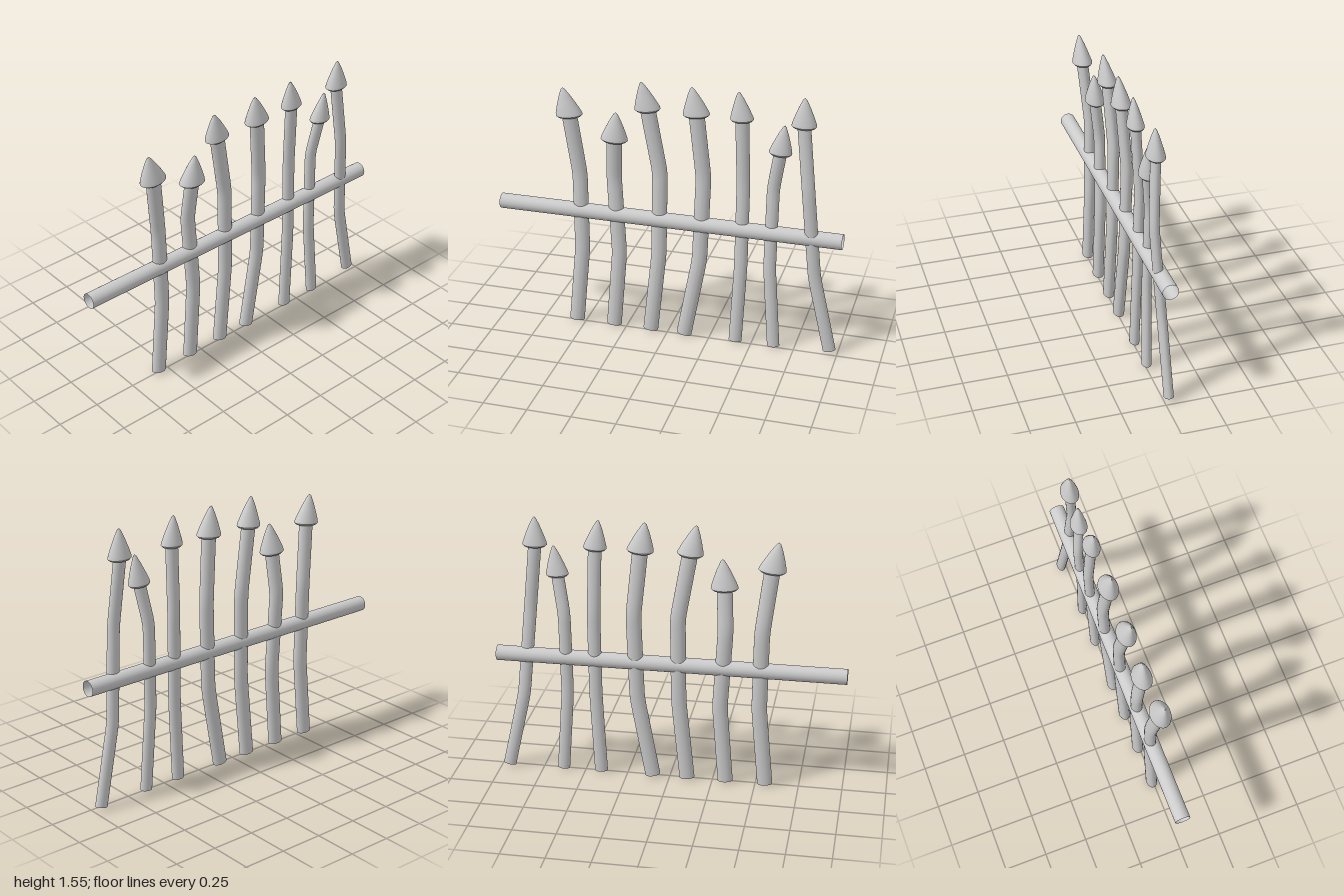
import * as THREE from 'three';

const FLAT = 0.72; // pickets are oval: narrower in z than in x
const material = new THREE.MeshStandardMaterial({ color: 0xcccccc, side: THREE.DoubleSide });

// Each picket: shaft radius, cap radius, path points from ground to cap, tip of the cap
const PICKETS = [
  { r: 0.044, cap: 0.077, path: [[-0.556, 0.01, -0.008], [-0.513, 0.48, -0.012], [-0.519, 0.95, -0.018], [-0.562, 1.31, 0.011]], tip: [-0.596, 1.475, 0.02] },
  { r: 0.044, cap: 0.077, path: [[-0.326, 0.01, -0.008], [-0.289, 0.48, -0.012], [-0.316, 0.95, -0.018], [-0.303, 1.19, 0.011]], tip: [-0.289, 1.36, 0.02] },
  { r: 0.044, cap: 0.073, path: [[-0.102, 0.01, -0.008], [-0.053, 0.5, -0.014], [-0.048, 1.01, -0.022], [-0.112, 1.385, -0.006]], tip: [-0.145, 1.55, 0.01] },
  { r: 0.044, cap: 0.075, path: [[0.1, 0.01, -0.008], [0.187, 0.5, -0.014], [0.203, 1.01, -0.022], [0.166, 1.385, 0]], tip: [0.14, 1.55, 0.01] },
  { r: 0.038, cap: 0.065, path: [[0.406, 0.01, -0.008], [0.428, 0.5, -0.014], [0.43, 1.0, -0.022], [0.42, 1.385, 0]], tip: [0.4, 1.55, 0.008] },
  { r: 0.036, cap: 0.064, path: [[0.631, 0.01, -0.008], [0.594, 0.5, -0.014], [0.599, 0.99, -0.022], [0.636, 1.215, 0.004]], tip: [0.658, 1.385, 0.012] },
  { r: 0.037, cap: 0.069, path: [[0.952, 0.02, -0.03], [0.85, 0.48, -0.016], [0.802, 1.01, 0.018], [0.76, 1.385, 0.002]], tip: [0.759, 1.55, 0.005] },
];

// Straight runs joined by short rounded bends
function bentPath(points, round = 0.05) {
  const path = new THREE.CurvePath();
  let from = points[0];
  for (let i = 1; i < points.length - 1; i++) {
    const p = points[i];
    const toward = (q) => p.clone().add(q.clone().sub(p).setLength(round));
    const before = toward(points[i - 1]);
    const after = toward(points[i + 1]);
    path.add(new THREE.LineCurve3(from, before));
    path.add(new THREE.QuadraticBezierCurve3(before, p, after));
    from = after;
  }
  path.add(new THREE.LineCurve3(from, points[points.length - 1]));
  return path;
}

// Oval tube, open at the foot
function makeShaft({ r, path }) {
  const points = path.map(([x, y, z]) => new THREE.Vector3(x, y, z / FLAT));
  const geometry = new THREE.TubeGeometry(bentPath(points), 48, r, 24);
  geometry.scale(1, 1, FLAT);
  geometry.computeVertexNormals();
  const mesh = new THREE.Mesh(geometry, material);
  mesh.name = 'picketShaft';
  return mesh;
}

// Pointed cap with a slightly bulging side and underside, leaning toward its tip
function makeCap({ cap, path, tip }) {
  const underside = [[0, -0.09], [0.5, -0.07], [0.85, -0.03], [1, 0.03]];
  const side = [[1, 0.03], [0.96, 0.12], [0.72, 0.4], [0.43, 0.7], [0.15, 0.94], [0, 1]];
  const base = new THREE.Vector3(...path[path.length - 1]);
  const axis = new THREE.Vector3(...tip).sub(base);
  const lean = Math.atan2(axis.x, axis.y) / 2;
  const xAxis = new THREE.Vector3(Math.cos(lean), -Math.sin(lean), 0).multiplyScalar(cap);
  const zAxis = new THREE.Vector3(0, 0, cap * FLAT);
  const matrix = new THREE.Matrix4().makeBasis(xAxis, axis, zAxis).setPosition(base);

  const group = new THREE.Group();
  group.name = 'picketCap';
  for (const [name, profile] of [['capUnderside', underside], ['capPoint', side]]) {
    const geometry = new THREE.LatheGeometry(profile.map(([x, y]) => new THREE.Vector2(x, y)), 32);
    geometry.applyMatrix4(matrix);
    const mesh = new THREE.Mesh(geometry, material);
    mesh.name = name;
    group.add(mesh);
  }
  return group;
}

export function createModel() {
  const model = new THREE.Group();
  model.name = 'picketFence';

  // Hollow crossbar running through every picket
  const rail = new THREE.Mesh(new THREE.CylinderGeometry(0.044, 0.044, 2, 32, 1, true), material);
  rail.name = 'rail';
  rail.rotation.z = Math.PI / 2;
  rail.position.set(0, 0.722, -0.012);
  model.add(rail);

  for (const spec of PICKETS) {
    const picket = new THREE.Group();
    picket.name = 'picket';
    picket.add(makeShaft(spec), makeCap(spec));
    model.add(picket);
  }
  return model;
}
